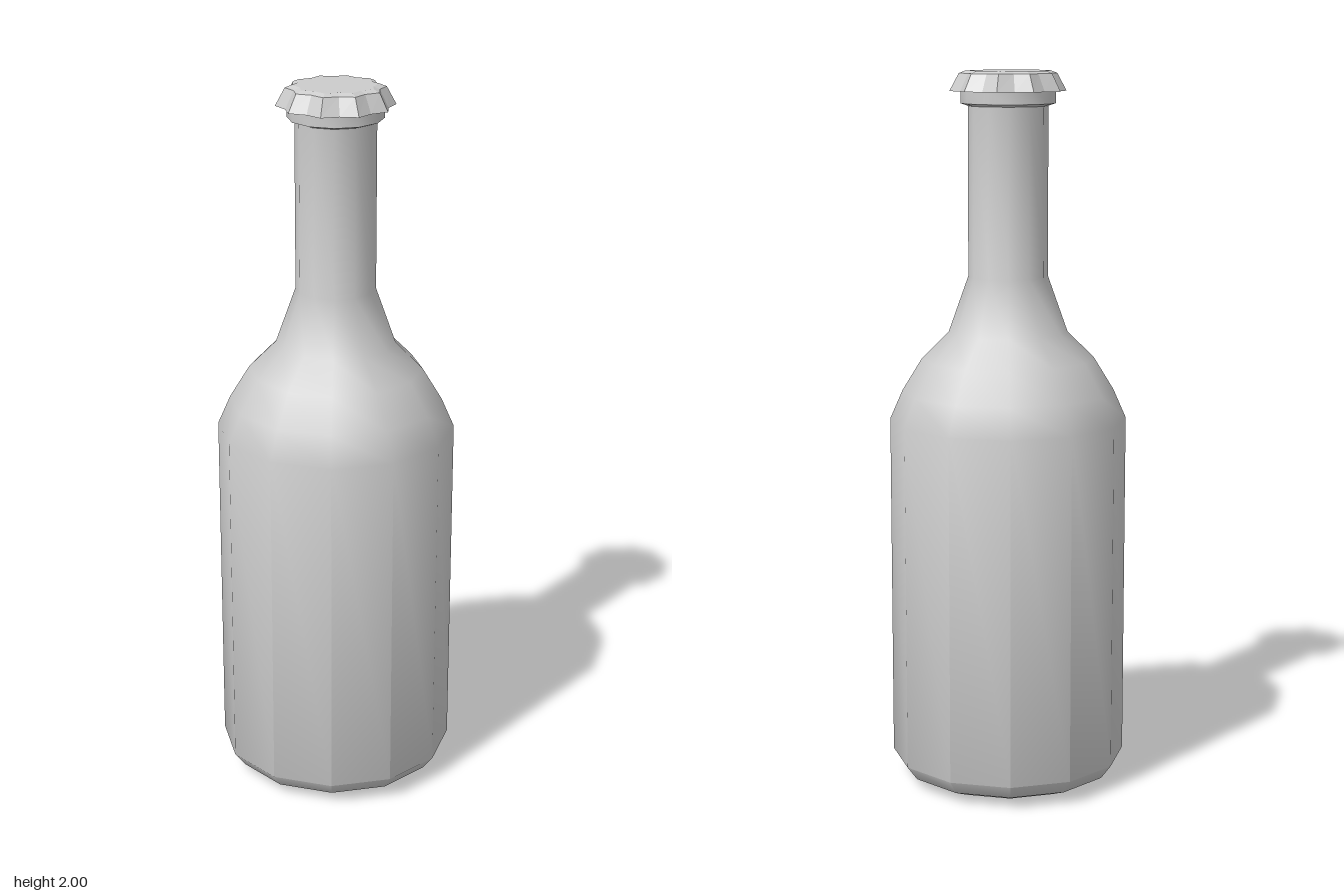
import * as THREE from 'three';
import { toCreasedNormals } from 'three/addons/utils/BufferGeometryUtils.js';

// Surface through star-shaped rings [tip radius, valley radius, y], closed by a centre point
function crownGeometry(rings, teeth) {
  const n = teeth * 2, pos = [], index = [];
  for (const [tip, valley, y] of rings) {
    for (let i = 0; i < n; i++) {
      const a = (i / n) * Math.PI * 2, r = i % 2 ? valley : tip;
      pos.push(r * Math.cos(a), y, -r * Math.sin(a));
    }
  }
  const last = rings.length - 1, centre = rings.length * n;
  pos.push(0, rings[last][2], 0);
  for (let i = 0; i < n; i++) {
    const j = (i + 1) % n;
    for (let k = 0; k < last; k++) {
      const a = k * n + i, b = k * n + j;
      index.push(a, b, b + n, a, b + n, a + n);
    }
    index.push(last * n + i, last * n + j, centre);
  }
  const g = new THREE.BufferGeometry();
  g.setAttribute('position', new THREE.Float32BufferAttribute(pos, 3));
  g.setIndex(index);
  const flat = g.toNonIndexed();
  flat.computeVertexNormals();
  return flat;
}

export function createModel() {
  const model = new THREE.Group();
  model.name = 'bottle';

  // Twelve-sided bottle: base, body, shoulder, neck and lip
  const profile = [
    [0, 0], [0.24, 0.005], [0.3, 0.03], [0.33, 0.07],
    [0.33, 1.04], [0.295, 1.12], [0.24, 1.21], [0.165, 1.285],
    [0.11, 1.44], [0.11, 1.905], [0.13, 1.912], [0.13, 1.95], [0.11, 1.965], [0, 1.965],
  ].map(([r, y]) => new THREE.Vector2(r, y));
  const glass = new THREE.Mesh(
    toCreasedNormals(new THREE.LatheGeometry(profile, 12), 0.75),
    new THREE.MeshStandardMaterial({ color: 0xcccccc }),
  );
  glass.name = 'glassBody';
  model.add(glass);

  // Crimped cap with ten teeth, open underneath
  const cap = new THREE.Mesh(
    crownGeometry([[0.161, 0.143, 1.945], [0.135, 0.119, 1.993], [0.117, 0.102, 2]], 10),
    new THREE.MeshStandardMaterial({ color: 0xcccccc, flatShading: true, side: THREE.DoubleSide }),
  );
  cap.name = 'crownCap';
  model.add(cap);

  return model;
}
